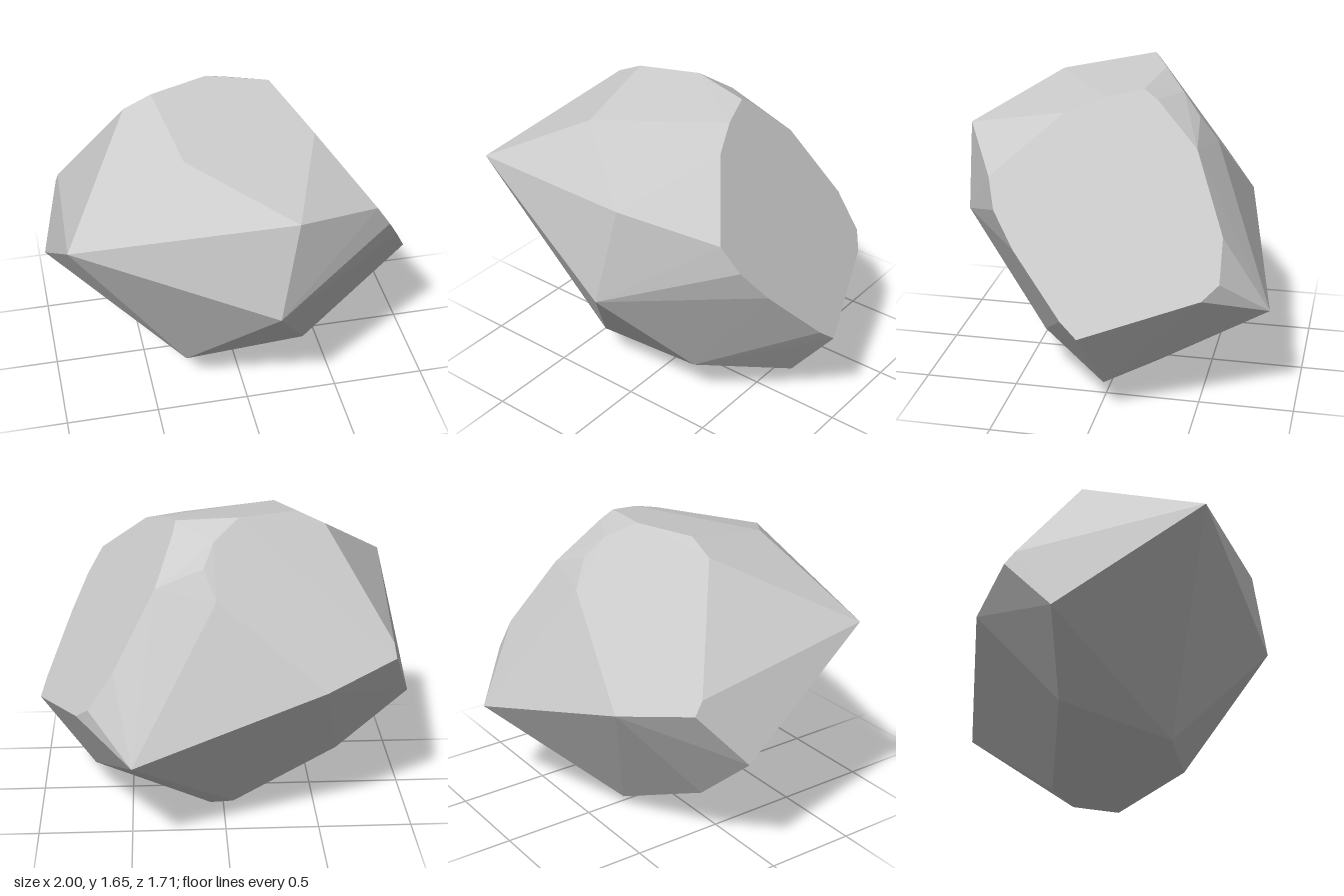
import * as THREE from 'three';
import { ConvexGeometry } from 'three/addons/geometries/ConvexGeometry.js';

// Large flat cut on the +x side: outline as [z, y], x follows from the cut plane
const cutOutline = [
  [0.04, 0.555], [0.13, 0.63], [0.40, 0.93], [0.52, 1.10], [0.565, 1.245],
  [0.235, 1.52], [0.04, 1.59], [-0.15, 1.625], [-0.22, 1.58], [-0.445, 1.36],
  [-0.615, 0.98], [-0.62, 0.78], [-0.54, 0.71],
];
const cutX = (y, z) => 1.362 - 0.668 * y + 0.213 * z;

// Remaining corners of the boulder
const corners = [
  // front
  [-0.925, 1.21, 0.575], [0.19, 1.375, 0.79], [0.09, 0.84, 0.855], [-0.31, 1.555, 0.405],
  // crown
  [-0.535, 1.58, -0.095], [-0.39, 1.65, -0.095], [-0.08, 1.655, -0.21],
  // back
  [0.055, 1.565, -0.325], [0.11, 1.455, -0.42], [0.05, 1.31, -0.51],
  [0.49, 0.56, -0.855], [-0.51, 0.856, -0.645], [-0.89, 0.95, -0.435], [-0.88, 1.02, -0.385],
  // side and underside
  [-1.0, 0.655, -0.18], [-0.62, 0.32, -0.19], [-0.31, 0.205, 0.345],
  [0.34, 0.27, 0.37], [0.705, 0.175, -0.03], [0.07, 0, -0.205], [-0.05, 0.06, -0.30],
];

export function createModel() {
  const stone = new THREE.MeshStandardMaterial({ color: 0xcccccc });
  stone.name = 'pale stone grey';

  const points = [
    ...cutOutline.map(([z, y]) => new THREE.Vector3(cutX(y, z), y, z)),
    ...corners.map((c) => new THREE.Vector3(...c)),
  ];

  // The hull has unshared corners, so its facets are flat
  const boulder = new THREE.Mesh(new ConvexGeometry(points), stone);
  boulder.name = 'boulder';

  const group = new THREE.Group();
  group.name = 'rock';
  group.add(boulder);
  return group;
}
